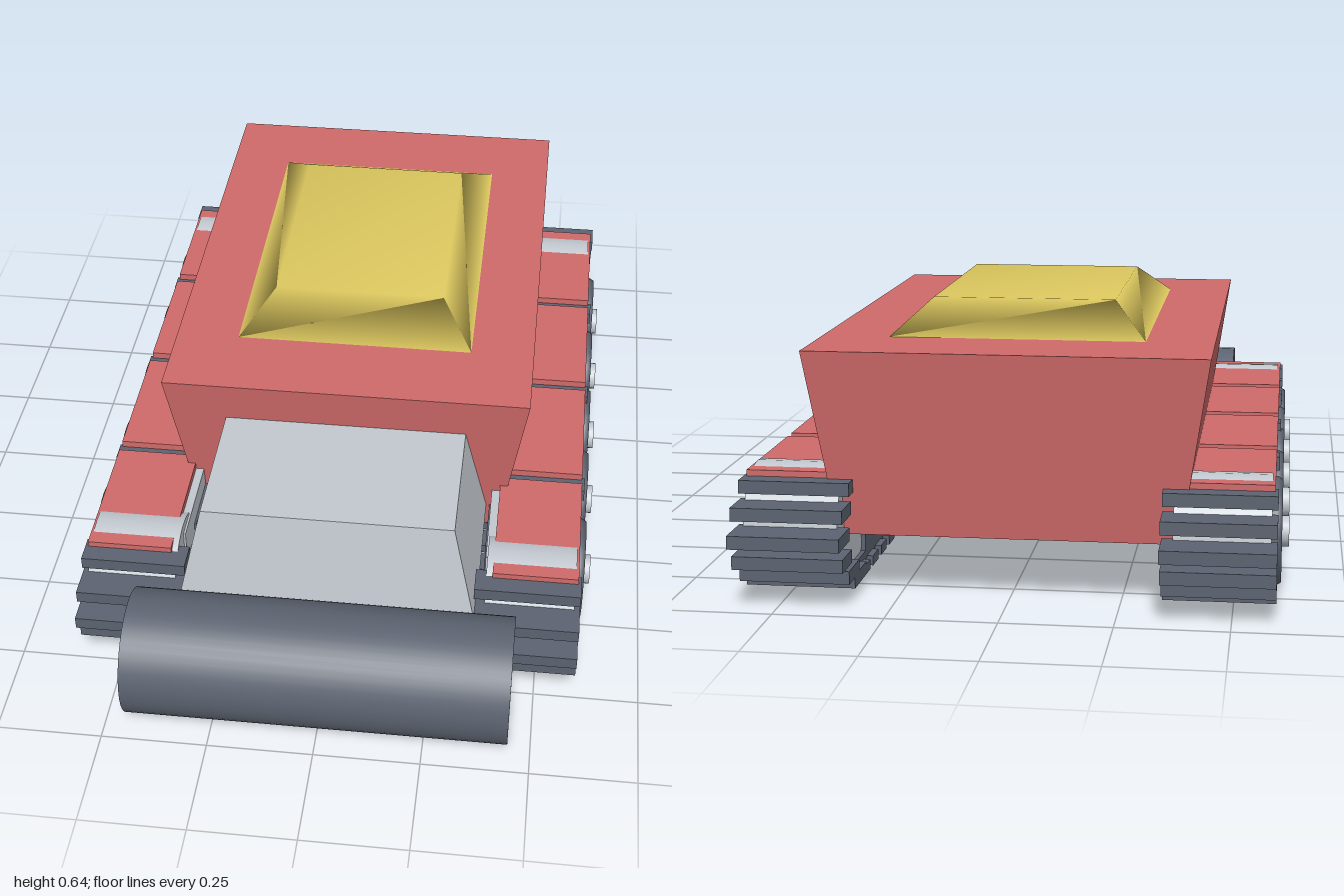
import * as THREE from 'three';
import { mergeVertices } from 'three/addons/utils/BufferGeometryUtils.js';

const mat = (name, color) => new THREE.MeshStandardMaterial({ name, color });

export function createModel() {
  const red = mat('red', 0xd06a6a);
  const yellow = mat('yellow', 0xdcc75e);
  const light = mat('lightGrey', 0xc3c9d0);
  const dark = mat('darkGrey', 0x5c6370);
  const model = new THREE.Group();

  const add = (parent, name, geometry, material) => {
    const mesh = new THREE.Mesh(geometry, material);
    mesh.name = name;
    parent.add(mesh);
    return mesh;
  };

  // Box given by its limits on each axis
  const box = (parent, name, material, x0, x1, y0, y1, z0, z1) =>
    add(parent, name, new THREE.BoxGeometry(x1 - x0, y1 - y0, z1 - z0), material)
      .position.set((x0 + x1) / 2, (y0 + y1) / 2, (z0 + z1) / 2);

  // Tapered block; each end is [y, halfWidth, zBack, zFront]
  const tapered = (bottom, top) => {
    const g = new THREE.BoxGeometry(2, 2, 2);
    const p = g.attributes.position;
    for (let i = 0; i < p.count; i++) {
      const [y, hw, zb, zf] = p.getY(i) > 0 ? top : bottom;
      p.setXYZ(i, p.getX(i) * hw, y, p.getZ(i) > 0 ? zf : zb);
    }
    g.computeVertexNormals();
    return g;
  };

  // Cylinder lying along x
  const drum = (parent, name, material, r, x0, x1, y, z, sides = 32) => {
    const g = new THREE.CylinderGeometry(r, r, x1 - x0, sides);
    g.rotateZ(Math.PI / 2);
    add(parent, name, g, material).position.set((x0 + x1) / 2, y, z);
  };

  // Body
  add(model, 'hull', tapered([0.15, 0.382, -0.848, 0.308], [0.575, 0.447, -0.91, 0.37]), red);
  add(model, 'nose', tapered([0.22, 0.352, 0.2, 0.748], [0.47, 0.295, 0.2, 0.708]), light);
  drum(model, 'frontRoller', dark, 0.147, -0.447, 0.447, 0.152, 0.853, 48);

  // Roof hatch with soft shading across its faces
  let hatch = tapered([0.575, 0.292, -0.7, 0.162], [0.65, 0.212, -0.57, 0.04]);
  hatch.deleteAttribute('normal');
  hatch.deleteAttribute('uv');
  hatch = mergeVertices(hatch);
  hatch.computeVertexNormals();
  add(model, 'roofHatch', hatch, yellow);

  // Road wheel profile: wide tread, raised rim, recessed face
  const wheelProfile = [[0, 0.38], [0.115, 0.38], [0.125, 0.39], [0.125, 0.592],
    [0.118, 0.604], [0.09, 0.604], [0.085, 0.594], [0, 0.594]];
  const wheelGeometry = new THREE.LatheGeometry(
    wheelProfile.map(([r, h]) => new THREE.Vector2(r, h)), 32);
  wheelGeometry.rotateZ(-Math.PI / 2);

  const mid = -0.105;   // centre of each track along z
  const reach = 0.68;   // from that centre to the end drums
  // Cleats round an end drum: [y, zNear, zFar] from the drum centre
  const cleats = [[0, 0.12, 0.222], [0.055, 0.1, 0.19], [-0.055, 0.1, 0.19],
    [0.1, 0.05, 0.12], [-0.098, 0.03, 0.13], [-0.123, -0.04, 0.075]];

  const buildTrack = () => {
    const track = new THREE.Group();
    // Frame
    box(track, 'innerPlate', dark, 0.36, 0.4, 0.06, 0.22, mid - reach + 0.1, mid + reach - 0.1);
    box(track, 'upperRail', light, 0.365, 0.575, 0.19, 0.275, mid - reach, mid + reach);

    for (const s of [-1, 1]) {
      const zc = mid + s * reach;
      drum(track, 'endDrum', light, 0.135, 0.37, 0.582, 0.165, zc);
      for (const [y, a, b] of cleats) {
        box(track, 'endCleat', dark, 0.345, 0.595, 0.15 + y, 0.18 + y,
          zc + Math.min(s * a, s * b), zc + Math.max(s * a, s * b));
      }
      // Small red brackets under the fender
      for (const d of [0.125, 0.43]) {
        const shape = new THREE.Shape();
        shape.moveTo(-0.035, 0.05);
        shape.lineTo(0, 0);
        shape.lineTo(0.035, 0.05);
        shape.closePath();
        const g = new THREE.ExtrudeGeometry(shape, { depth: 0.19, bevelEnabled: false });
        g.rotateY(Math.PI / 2);
        add(track, 'fenderBracket', g, red).position.set(0.39, 0.198, mid + s * d);
      }
    }

    // Fender plates and the bars between them
    for (let i = 0; i < 4; i++) {
      const z0 = mid - 0.755 + i * 0.386;
      box(track, 'fenderPlate', red, 0.385, 0.588, 0.27, 0.294, z0, z0 + 0.352);
      if (i) box(track, 'fenderBar', dark, 0.36, 0.595, 0.245, 0.277, z0 - 0.042, z0 + 0.008);
    }

    // Road wheels with hubs
    for (let i = -2; i <= 2; i++) {
      const z = mid + 0.005 + i * 0.268;
      add(track, 'roadWheel', wheelGeometry, dark).position.set(0, 0.135, z);
      drum(track, 'wheelHub', light, 0.036, 0.57, 0.62, 0.135, z, 20);
    }

    // Lower track run
    box(track, 'lowerBelt', dark, 0.36, 0.585, 0.045, 0.065, mid - reach, mid + reach);
    for (let i = -7; i <= 7; i++) {
      const z = mid + i * 0.09;
      box(track, 'lowerCleat', dark, 0.345, 0.592, 0.027, 0.05, z - 0.03, z + 0.03);
    }
    return track;
  };

  // One track per side; the right one is turned round and shifted to match
  const left = buildTrack();
  left.name = 'leftTrack';
  const right = buildTrack();
  right.name = 'rightTrack';
  right.rotation.y = Math.PI;
  right.position.z = 2 * mid;
  model.add(left, right);

  return model;
}
